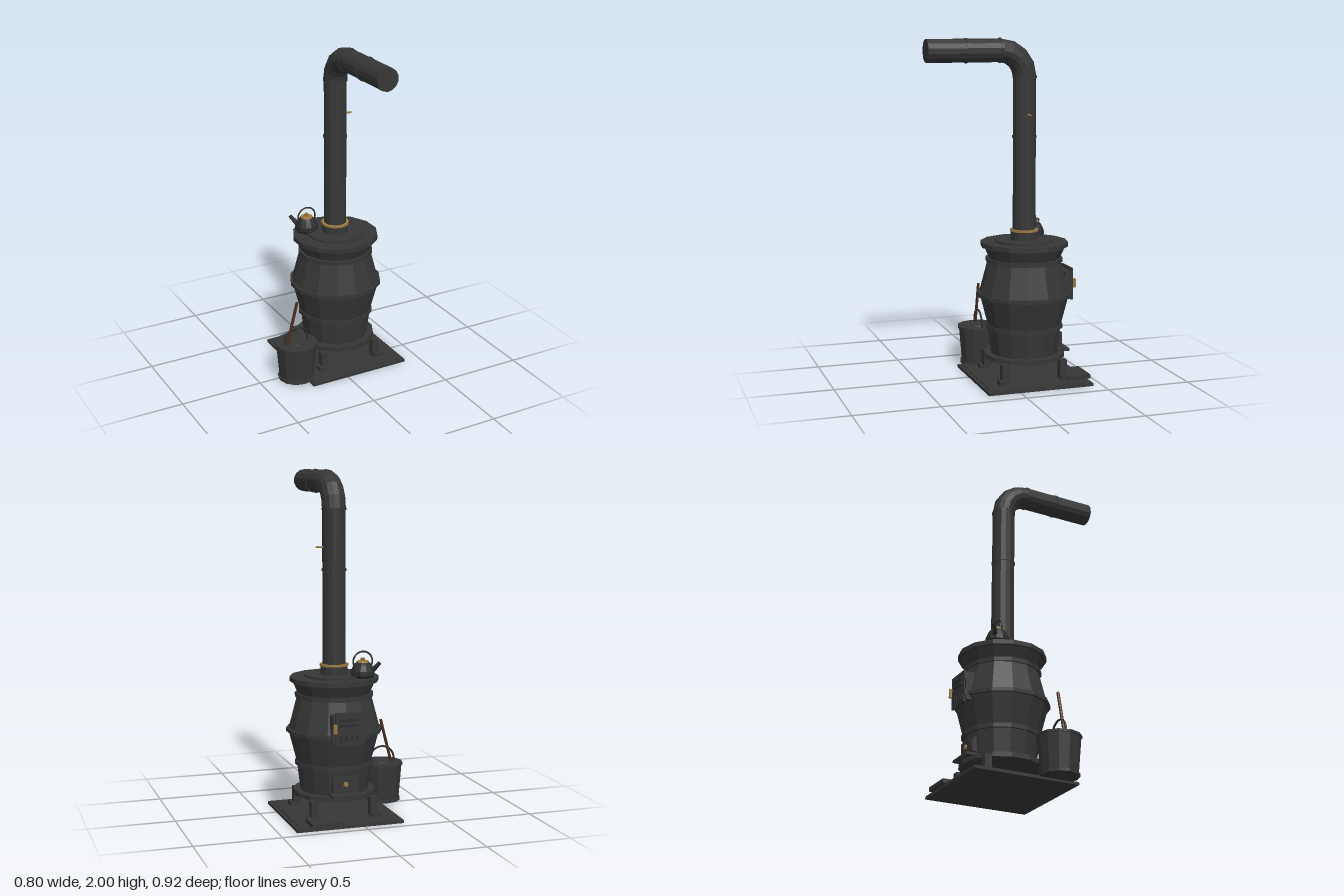
import * as THREE from 'three';

const material = (name, color, flatShading = true) => {
  const m = new THREE.MeshStandardMaterial({ color, flatShading });
  m.name = name;
  return m;
};

// quarter-circle path turning from +y to +z
class ElbowCurve extends THREE.Curve {
  constructor(radius) {
    super();
    this.radius = radius;
  }
  getPoint(t, target = new THREE.Vector3()) {
    const a = t * Math.PI / 2;
    return target.set(0, this.radius * Math.sin(a), this.radius * (1 - Math.cos(a)));
  }
}

export function createModel() {
  const model = new THREE.Group();
  model.name = 'stove';
  const iron = material('cast iron', 0x363636);
  const dark = material('dark iron', 0x2b2c2d);
  const brass = material('brass', 0x9c7a42);
  const wood = material('brown wood', 0x4a2a1e);

  const add = (parent, name, geometry, mat, x = 0, y = 0, z = 0) => {
    const mesh = new THREE.Mesh(geometry, mat);
    mesh.name = name;
    mesh.position.set(x, y, z);
    parent.add(mesh);
    return mesh;
  };
  // box given by its centre in x and z and its bottom and top
  const box = (parent, name, mat, x, z, w, d, y0, y1) =>
    add(parent, name, new THREE.BoxGeometry(w, y1 - y0, d), mat, x, (y0 + y1) / 2, z);
  // upright drum or cone between two heights
  const drum = (parent, name, mat, r0, r1, y0, y1, sides = 14) =>
    add(parent, name, new THREE.CylinderGeometry(r1, r0, y1 - y0, sides), mat, 0, (y0 + y1) / 2, 0);
  // rod between two points
  const rod = (parent, name, mat, a, b, r0, r1 = r0, sides = 8) => {
    const from = new THREE.Vector3(...a), to = new THREE.Vector3(...b);
    const dir = to.clone().sub(from);
    const mesh = add(parent, name, new THREE.CylinderGeometry(r1, r0, dir.length(), sides), mat);
    mesh.position.copy(from).add(to).multiplyScalar(0.5);
    mesh.quaternion.setFromUnitVectors(new THREE.Vector3(0, 1, 0), dir.normalize());
    return mesh;
  };

  // everything belonging to the stove is centred on its vertical axis
  const stove = new THREE.Group();
  stove.name = 'stoveBody';
  stove.position.set(0.082, 0, -0.127);
  model.add(stove);

  // floor plate, with a slightly raised inner panel
  box(stove, 'floorPlate', iron, 0, 0, 0.636, 0.636, 0, 0.017);
  box(stove, 'floorPanel', iron, 0, 0, 0.592, 0.592, 0.017, 0.021);
  box(stove, 'hearthTray', iron, 0.14, -0.265, 0.186, 0.136, 0.02, 0.045);

  // legs and feet
  for (const sx of [-1, 1]) for (const sz of [-1, 1]) {
    box(stove, 'leg', iron, sx * 0.178, sz * 0.178, 0.043, 0.043, 0.02, 0.135);
    box(stove, 'foot', iron, sx * 0.19, sz * 0.19, 0.058, 0.058, 0.02, 0.045);
  }

  // bellied barrel, built in bands
  drum(stove, 'baseRing', iron, 0.24, 0.24, 0.13, 0.157);
  drum(stove, 'lowerBarrel', iron, 0.198, 0.217, 0.155, 0.32);
  drum(stove, 'lowerBand', iron, 0.229, 0.229, 0.305, 0.33);
  drum(stove, 'lowerBelly', iron, 0.218, 0.267, 0.32, 0.51);
  drum(stove, 'bellyBand', iron, 0.279, 0.279, 0.499, 0.521);
  drum(stove, 'upperBelly', iron, 0.267, 0.215, 0.51, 0.71);
  drum(stove, 'upperBand', iron, 0.228, 0.228, 0.702, 0.726);
  drum(stove, 'neck', iron, 0.21, 0.242, 0.72, 0.795);
  drum(stove, 'topFlange', iron, 0.258, 0.258, 0.793, 0.82);
  drum(stove, 'cookPlate', iron, 0.172, 0.172, 0.82, 0.832);

  // stove pipe
  const bendY = 1.781, bendR = 0.15, pipeR = 0.067;
  drum(stove, 'pipeCollar', iron, 0.079, 0.079, 0.83, 0.88);
  drum(stove, 'brassRing', brass, 0.083, 0.083, 0.88, 0.893);
  drum(stove, 'risingPipe', iron, pipeR, pipeR, 0.88, bendY);
  drum(stove, 'pipeBand', iron, 0.071, 0.071, 1.427, 1.441);
  drum(stove, 'pipeBand', iron, 0.071, 0.071, bendY - 0.008, bendY + 0.006);
  const bend = new ElbowCurve(bendR);
  add(stove, 'pipeElbow', new THREE.TubeGeometry(bend, 4, 0.069, 14), iron, 0, bendY, 0);
  const level = bendY + bendR;
  rod(stove, 'levelPipe', iron, [0, level, bendR], [0, level, 0.587], pipeR, pipeR, 14);
  for (const z of [bendR, 0.352])
    rod(stove, 'pipeBand', iron, [0, level, z - 0.007], [0, level, z + 0.007], 0.071, 0.071, 14);
  rod(stove, 'damperHandle', brass, [0.05, 1.565, 0], [0.107, 1.565, 0], 0.006);

  // fire door on the back
  box(stove, 'fireDoorFrame', iron, 0, -0.247, 0.192, 0.05, 0.475, 0.64);
  box(stove, 'fireDoor', iron, 0, -0.272, 0.162, 0.014, 0.465, 0.655);
  for (const y of [0.575, 0.605])
    box(stove, 'doorRib', dark, 0, -0.281, 0.11, 0.007, y, y + 0.014);
  for (let i = 0; i < 4; i++)
    box(stove, 'draftSlot', dark, -0.045 + i * 0.03, -0.281, 0.013, 0.005, 0.49, 0.525);
  for (const y of [0.5, 0.6])
    rod(stove, 'hinge', iron, [-0.088, y, -0.272], [-0.088, y + 0.035, -0.272], 0.009);
  rod(stove, 'doorLatch', brass, [0.083, 0.54, -0.285], [0.083, 0.592, -0.285], 0.011);

  // ash door and its lip
  box(stove, 'ashDoorFrame', iron, 0, -0.2, 0.15, 0.03, 0.185, 0.27);
  box(stove, 'ashDoor', iron, 0, -0.212, 0.125, 0.016, 0.195, 0.26);
  rod(stove, 'ashDoorKnob', brass, [0, 0.228, -0.215], [0, 0.228, -0.228], 0.017, 0.013);
  box(stove, 'ashLip', iron, 0, -0.215, 0.18, 0.085, 0.157, 0.172);

  // kettle
  const kettle = new THREE.Group();
  kettle.name = 'kettle';
  kettle.position.set(-0.058, 0.82, -0.23);
  model.add(kettle);
  const kettleProfile = [[0, 0], [0.06, 0], [0.07, 0.016], [0.068, 0.042], [0.052, 0.075], [0.038, 0.088], [0, 0.088]]
    .map(([r, y]) => new THREE.Vector2(r, y));
  add(kettle, 'kettleBody', new THREE.LatheGeometry(kettleProfile, 12), dark);
  drum(kettle, 'kettleLid', brass, 0.038, 0.034, 0.086, 0.097, 12);
  drum(kettle, 'kettleKnob', brass, 0.012, 0.014, 0.097, 0.113, 8);
  add(kettle, 'kettleHandle', new THREE.TorusGeometry(0.058, 0.005, 6, 14, Math.PI), dark, 0, 0.092, 0);
  for (const s of [-1, 1])
    rod(kettle, 'handleEnd', dark, [s * 0.058, 0.093, 0], [s * 0.054, 0.065, 0], 0.005);
  rod(kettle, 'kettleSpout', dark, [-0.042, 0.038, -0.034], [-0.08, 0.09, -0.063], 0.016, 0.011);

  // coal bucket
  const bucket = new THREE.Group();
  bucket.name = 'coalBucket';
  bucket.position.set(-0.276, 0, 0.045);
  model.add(bucket);
  drum(bucket, 'bucketFoot', iron, 0.112, 0.112, 0.012, 0.03, 12);
  drum(bucket, 'bucketBody', iron, 0.104, 0.122, 0.02, 0.238, 12);
  drum(bucket, 'bucketRim', iron, 0.127, 0.127, 0.232, 0.245, 12);
  drum(bucket, 'bucketLid', iron, 0.052, 0.05, 0.245, 0.249, 12);
  add(bucket, 'bucketHandle', new THREE.TorusGeometry(0.077, 0.006, 6, 16, Math.PI), dark, 0, 0.262, 0);
  for (const s of [-1, 1])
    rod(bucket, 'handleEnd', dark, [s * 0.077, 0.24, 0], [s * 0.077, 0.263, 0], 0.006);
  rod(bucket, 'shovelShaft', wood, [-0.062, 0.23, 0], [0.008, 0.505, 0], 0.009, 0.009);

  return model;
}
